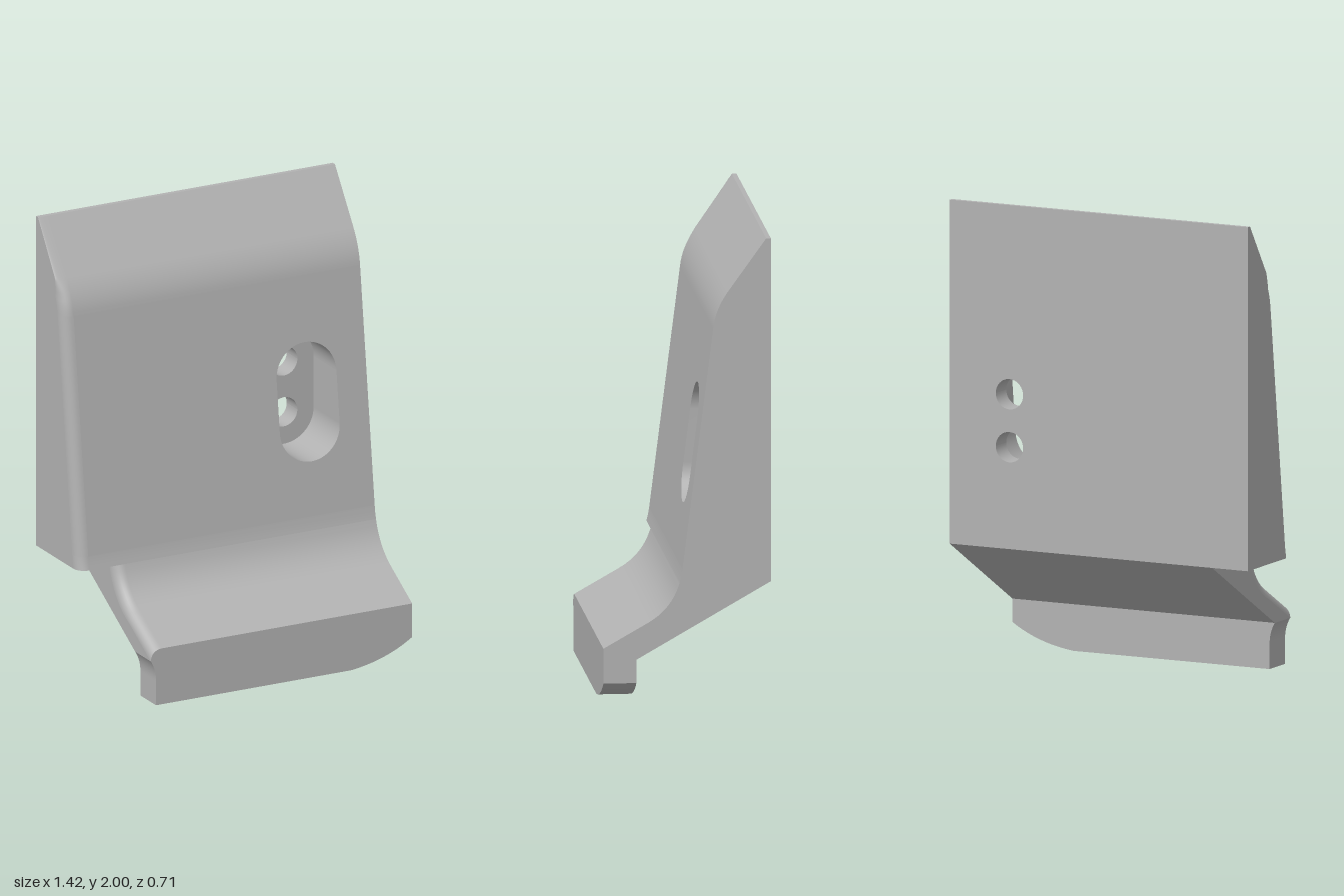
import * as THREE from 'three';

const RIGHT = 0.71, UPPER_LEFT = -0.71, LOWER_LEFT = -0.54, BACK = -0.355, FILLET = 0.05;
const V2 = (x, y) => new THREE.Vector2(x, y);
const panelZ = (y) => 0.02 - (y - 0.585) * 0.1263;

// Smooth skin through rows of [x, y, z] points
function grid(rows) {
  const n = rows[0].length, index = [];
  for (let i = 0; i < rows.length - 1; i++) {
    for (let k = 0; k < n - 1; k++) {
      const a = i * n + k, b = a + n;
      index.push(a, b, b + 1, a, b + 1, a + 1);
    }
  }
  const geo = new THREE.BufferGeometry();
  geo.setAttribute('position', new THREE.Float32BufferAttribute(rows.flat(2), 3));
  geo.setIndex(index);
  geo.computeVertexNormals();
  return geo;
}

// Turns a flat face to look the other way
function flip(geo) {
  geo.index.array.reverse();
  geo.computeVertexNormals();
  return geo;
}

const flat = (points, holes = []) => {
  const shape = new THREE.Shape(points);
  shape.holes.push(...holes);
  return new THREE.ShapeGeometry(shape, 24);
};

// Face at constant x from (z, y) points, looking to -x
const sideFace = (points, x) => flat(points).rotateY(-Math.PI / 2).translate(x, 0, 0);

const rect = (x0, x1, y0, y1) => [V2(x0, y0), V2(x1, y0), V2(x1, y1), V2(x0, y1)];

// Inner wall of a hole running along z
const holeWall = (path, back, front) => {
  const p = path.getPoints(24);
  return grid([p.map((v) => [v.x, v.y, back]), p.map((v) => [v.x, v.y, front(v.y)])]);
};

export function createModel() {
  const group = new THREE.Group();
  const grey = new THREE.MeshStandardMaterial({ color: 0xb2b2b2, side: THREE.DoubleSide });
  grey.name = 'plain grey';
  const add = (name, geo) => {
    const mesh = new THREE.Mesh(geo, grey);
    mesh.name = name;
    group.add(mesh);
  };

  // Front profile as (z, y), running from the top edge to the ramp lip
  const profile = new THREE.Path()
    .moveTo(-0.335, 2)
    .lineTo(-0.175, 1.777)
    .quadraticCurveTo(-0.12, 1.7, panelZ(1.62), 1.62)
    .lineTo(0.02, 0.585)
    .quadraticCurveTo(0.039, 0.43, 0.165, 0.358)
    .lineTo(0.355, 0.25)
    .getPoints(10);
  const PANEL = 11, STEP = 14, LIP = 23;
  const stepY = profile[STEP].y;

  // Depth of the rounded left edge at each profile point
  const inset = (i) => {
    if (i <= STEP) {
      return V2(-FILLET * THREE.MathUtils.clamp((1.8 - profile[i].y) / 0.1, 0, 1), 0);
    }
    const a = Math.min(1, (i - STEP) / 8) * Math.PI / 2;
    return V2(-FILLET * Math.cos(a), -FILLET * Math.sin(a));
  };
  const edgeRow = (i, left) => {
    const row = [], d = inset(i);
    for (let k = 0; k <= 8; k++) {
      const a = k / 8 * Math.PI / 2, f = 1 - Math.sin(a);
      row.push([left + FILLET * (1 - Math.cos(a)), profile[i].y + d.y * f, profile[i].x + d.x * f]);
    }
    return row;
  };
  const fullRow = (i, left) => [...edgeRow(i, left), [RIGHT, profile[i].y, profile[i].x]];
  const skin = (from, to, left, row) => {
    const rows = [];
    for (let i = from; i <= to; i++) rows.push(row(i, left));
    return grid(rows);
  };

  // Slot pocket and the two through holes
  const slot = new THREE.Path();
  slot.absarc(0.425, 1.19, 0.143, 0, Math.PI);
  slot.absarc(0.425, 0.963, 0.143, Math.PI, Math.PI * 2);
  slot.closePath();
  const bores = [0.963, 1.19].map((y) => new THREE.Path().absarc(0.425, y, 0.065, 0, Math.PI * 2));
  const FLOOR = -0.26;

  // Front skins
  add('topEdge', grid([
    [[UPPER_LEFT, 2, BACK], [RIGHT, 2, BACK]],
    [[UPPER_LEFT, 2, -0.335], [RIGHT, 2, -0.335]],
  ]));
  add('topSlope', skin(0, PANEL, UPPER_LEFT, fullRow));
  add('panelRoundedEdge', skin(PANEL, PANEL + 1, UPPER_LEFT, edgeRow));
  add('panelBase', skin(PANEL + 1, STEP, UPPER_LEFT, fullRow));
  add('ramp', skin(STEP, LIP, LOWER_LEFT, fullRow));

  const panel = flat(rect(UPPER_LEFT + FILLET, RIGHT, 0.585, 1.62), [slot]);
  const pos = panel.attributes.position;
  for (let i = 0; i < pos.count; i++) pos.setZ(i, panelZ(pos.getY(i)));
  panel.computeVertexNormals();
  add('frontPanel', panel);

  // Pocket and bores
  add('slotWall', holeWall(slot, FLOOR, panelZ));
  add('slotFloor', flat(slot.getPoints(24), bores).translate(0, 0, FLOOR));
  bores.forEach((b) => add('boreWall', holeWall(b, BACK, () => FLOOR)));

  // Back and underside
  add('backFace', flip(flat(rect(UPPER_LEFT, RIGHT, stepY, 2), bores).translate(0, 0, BACK)));
  add('underside', grid([
    [[LOWER_LEFT, 0.2, 0.215], [RIGHT, 0.2, 0.215]],
    [[LOWER_LEFT, stepY, BACK], [RIGHT, stepY, BACK]],
  ]));
  const shelf = edgeRow(STEP, UPPER_LEFT).reverse().map((p) => V2(p[0], p[2]));
  const inner = LOWER_LEFT + FILLET;
  add('overhangUnderside', flat([V2(UPPER_LEFT, BACK), V2(inner, BACK), V2(inner, profile[STEP].x), ...shelf])
    .rotateX(Math.PI / 2).translate(0, stepY, 0));

  // Side faces
  const heel = [V2(0.215, 0.2), V2(BACK, stepY)];
  const insetProfile = profile.map((p, i) => p.clone().add(inset(i)));
  add('rightSide', flip(sideFace([...profile, V2(0.355, 0.2), ...heel, V2(BACK, 2)], RIGHT)));
  add('upperLeftSide', sideFace([...insetProfile.slice(0, STEP + 1), V2(BACK, stepY), V2(BACK, 2)], UPPER_LEFT));
  add('lowerLeftSide', sideFace([...insetProfile.slice(STEP), ...heel], LOWER_LEFT));

  // Lip and foot
  add('lipFront', flat([...edgeRow(LIP, LOWER_LEFT).map((p) => V2(p[0], p[1])), V2(RIGHT, 0.25), V2(RIGHT, 0.2)])
    .translate(0, 0, 0.355));
  const foot = new THREE.Shape()
    .moveTo(LOWER_LEFT, 0.2)
    .quadraticCurveTo(-0.515, 0.16, -0.515, 0.11)
    .lineTo(-0.515, 0)
    .lineTo(0.42, 0)
    .quadraticCurveTo(0.59, 0.02, RIGHT, 0.1)
    .lineTo(RIGHT, 0.2);
  add('foot', new THREE.ExtrudeGeometry(foot, { depth: 0.14, bevelEnabled: false, curveSegments: 16 })
    .translate(0, 0, 0.215));

  return group;
}
